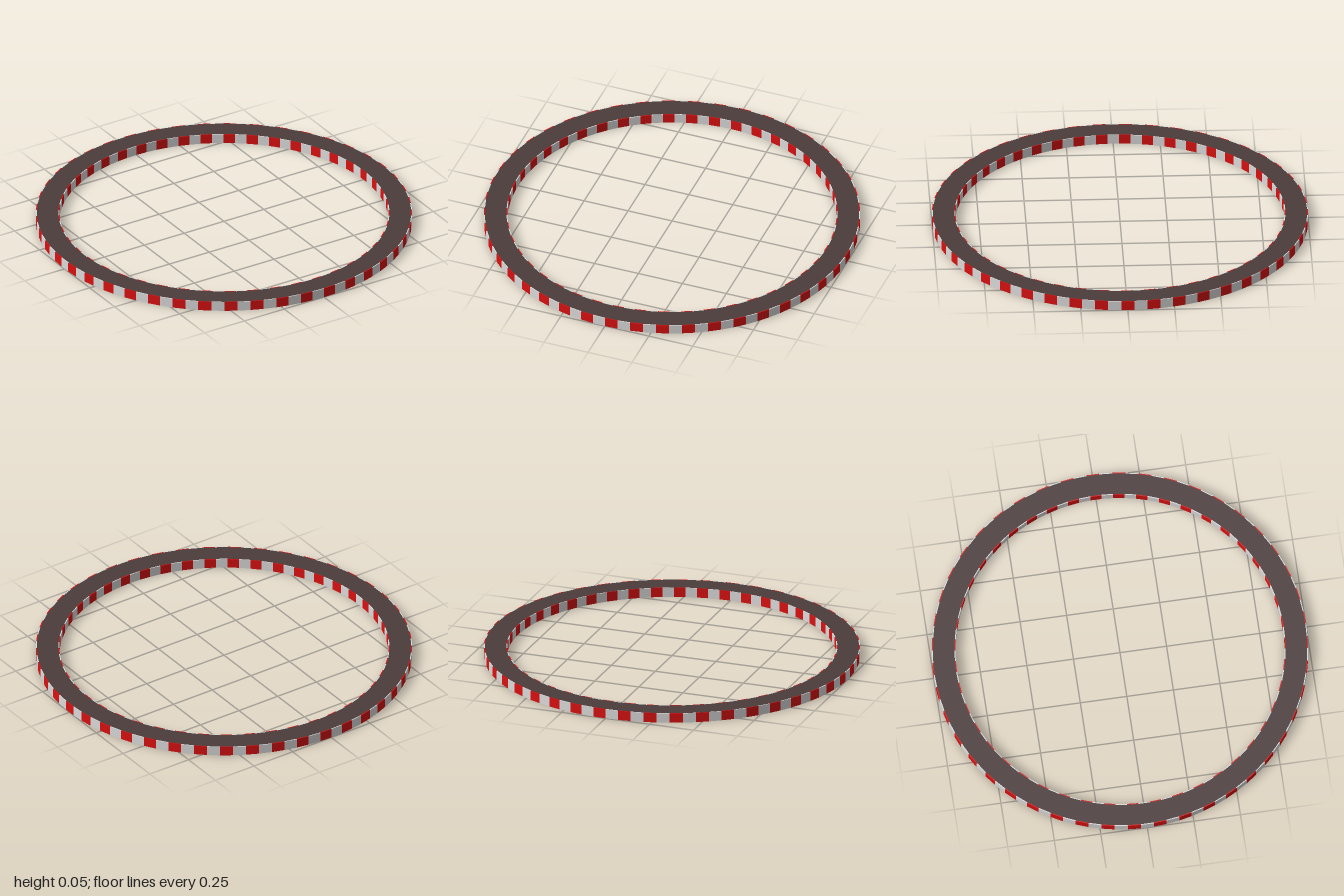
import * as THREE from 'three';
import { mergeGeometries } from 'three/addons/utils/BufferGeometryUtils.js';

const HEIGHT = 0.052, OUTER = 1, INNER = 0.875, WALL = 0.005, BLOCKS = 90;
const STEP = (Math.PI * 2) / BLOCKS;

// Rectangular section swept around y; angle 0 is the front (+z), growing towards +x
function sector(r0, r1, y0, y1, segments, start, length) {
  const profile = [[r1, y0], [r1, y1], [r0, y1], [r0, y0], [r1, y0]]
    .map(([r, y]) => new THREE.Vector2(r, y));
  const geometry = new THREE.LatheGeometry(profile, segments, start, length).toNonIndexed();
  geometry.computeVertexNormals();
  return geometry;
}

// Every second block of a striped wall, merged into one geometry
function stripes(r0, r1, first) {
  const blocks = [];
  for (let i = first; i < BLOCKS; i += 2) {
    blocks.push(sector(r0, r1, 0, HEIGHT, 1, i * STEP, STEP));
  }
  return mergeGeometries(blocks);
}

export function createModel() {
  const red = new THREE.MeshStandardMaterial({ color: 0xd91010 });
  red.name = 'red';
  const white = new THREE.MeshStandardMaterial({ color: 0xdadada });
  white.name = 'white';
  const dark = new THREE.MeshStandardMaterial({ color: 0x4a3c3b });
  dark.name = 'dark brown';

  const model = new THREE.Group();
  model.name = 'stripedRing';
  const add = (parent, name, geometry, material) => {
    const mesh = new THREE.Mesh(geometry, material);
    mesh.name = name;
    parent.add(mesh);
  };

  // Thin top plate; the ring is an open channel underneath
  add(model, 'topPlate',
    sector(INNER + WALL, OUTER - WALL, HEIGHT - 0.004, HEIGHT, BLOCKS, 0, Math.PI * 2), dark);

  // Striped walls on the outer and inner rims
  for (const [name, r0, r1] of [['outerWall', OUTER - WALL, OUTER], ['innerWall', INNER, INNER + WALL]]) {
    const wall = new THREE.Group();
    wall.name = name;
    add(wall, name + 'RedBlocks', stripes(r0, r1, 0), red);
    add(wall, name + 'WhiteBlocks', stripes(r0, r1, 1), white);
    model.add(wall);
  }
  return model;
}
